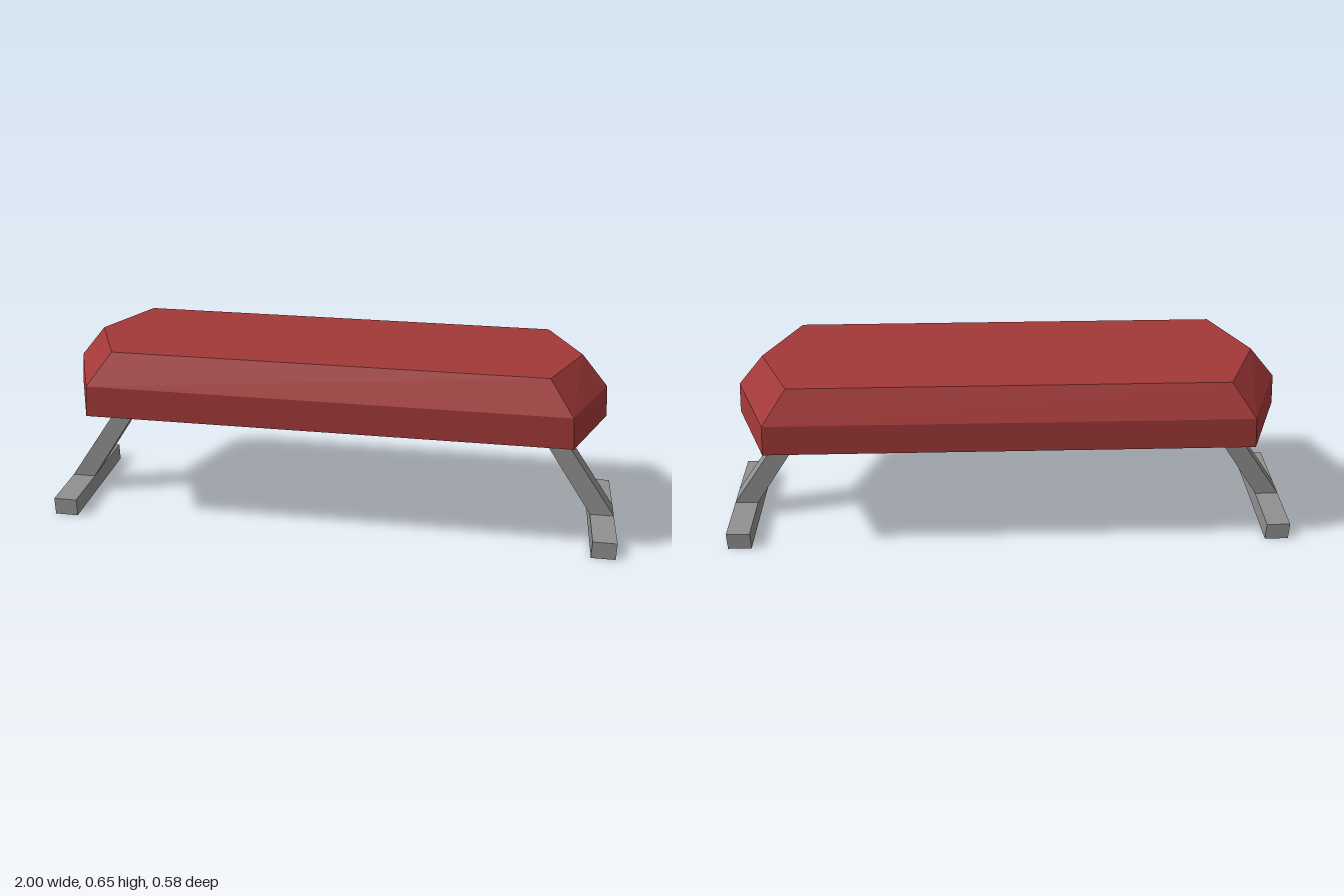
import * as THREE from 'three';

const red = new THREE.MeshStandardMaterial({ color: 0xa23838 });
red.name = 'red upholstery';
const grey = new THREE.MeshStandardMaterial({ color: 0x909090 });
grey.name = 'grey steel';
const black = new THREE.MeshStandardMaterial({ color: 0x060606 });
black.name = 'black underside';

// Six-sided ring with pointed ends, counter-clockwise from above
function ring(y, tip, shoulder, halfWidth) {
  return [
    [tip, y, 0], [shoulder, y, -halfWidth], [-shoulder, y, -halfWidth],
    [-tip, y, 0], [-shoulder, y, halfWidth], [shoulder, y, halfWidth],
  ];
}

// Non-indexed triangles give flat facets
function facets(points) {
  const geometry = new THREE.BufferGeometry();
  geometry.setAttribute('position', new THREE.Float32BufferAttribute(points.flat(), 3));
  geometry.computeVertexNormals();
  return geometry;
}

function addMesh(group, name, geometry, material) {
  const mesh = new THREE.Mesh(geometry, material);
  mesh.name = name;
  group.add(mesh);
  return mesh;
}

export function createModel() {
  const model = new THREE.Group();
  model.name = 'bench';

  // Padded seat: upright lower band, bevelled upper band, flat top
  const rings = [
    ring(0.43, 0.94, 0.82, 0.288),
    ring(0.54, 0.93, 0.81, 0.288),
    ring(0.648, 0.84, 0.73, 0.231),
  ];
  const shell = [];
  for (let r = 0; r < 2; r++) {
    for (let i = 0; i < 6; i++) {
      const j = (i + 1) % 6;
      const [a, b, c, d] = [rings[r][i], rings[r][j], rings[r + 1][j], rings[r + 1][i]];
      shell.push(a, b, c, a, c, d);
    }
  }
  const underside = [];
  for (let i = 1; i < 5; i++) {
    shell.push(rings[2][0], rings[2][i], rings[2][i + 1]);
    underside.push(rings[0][0], rings[0][i + 1], rings[0][i]);
  }
  addMesh(model, 'seatPad', facets(shell), red);
  addMesh(model, 'seatUnderside', facets(underside), black);

  // Bent frame: rail under the seat and two splayed legs
  const outline = [
    [1, 0.063], [0.75, 0.43], [-0.75, 0.43], [-1, 0.063],
    [-0.917, 0.063], [-0.725, 0.357], [0.725, 0.357], [0.917, 0.063],
  ].map(([x, y]) => new THREE.Vector2(x, y));
  const frame = new THREE.ExtrudeGeometry(new THREE.Shape(outline), { depth: 0.084, bevelEnabled: false });
  frame.translate(0, 0, -0.042);
  addMesh(model, 'frame', frame, grey);

  // Crosswise feet
  for (const side of [1, -1]) {
    const foot = addMesh(model, side > 0 ? 'leftFoot' : 'rightFoot',
      new THREE.BoxGeometry(0.083, 0.063, 0.466), grey);
    foot.position.set(side * 0.9585, 0.0315, 0);
  }
  return model;
}
